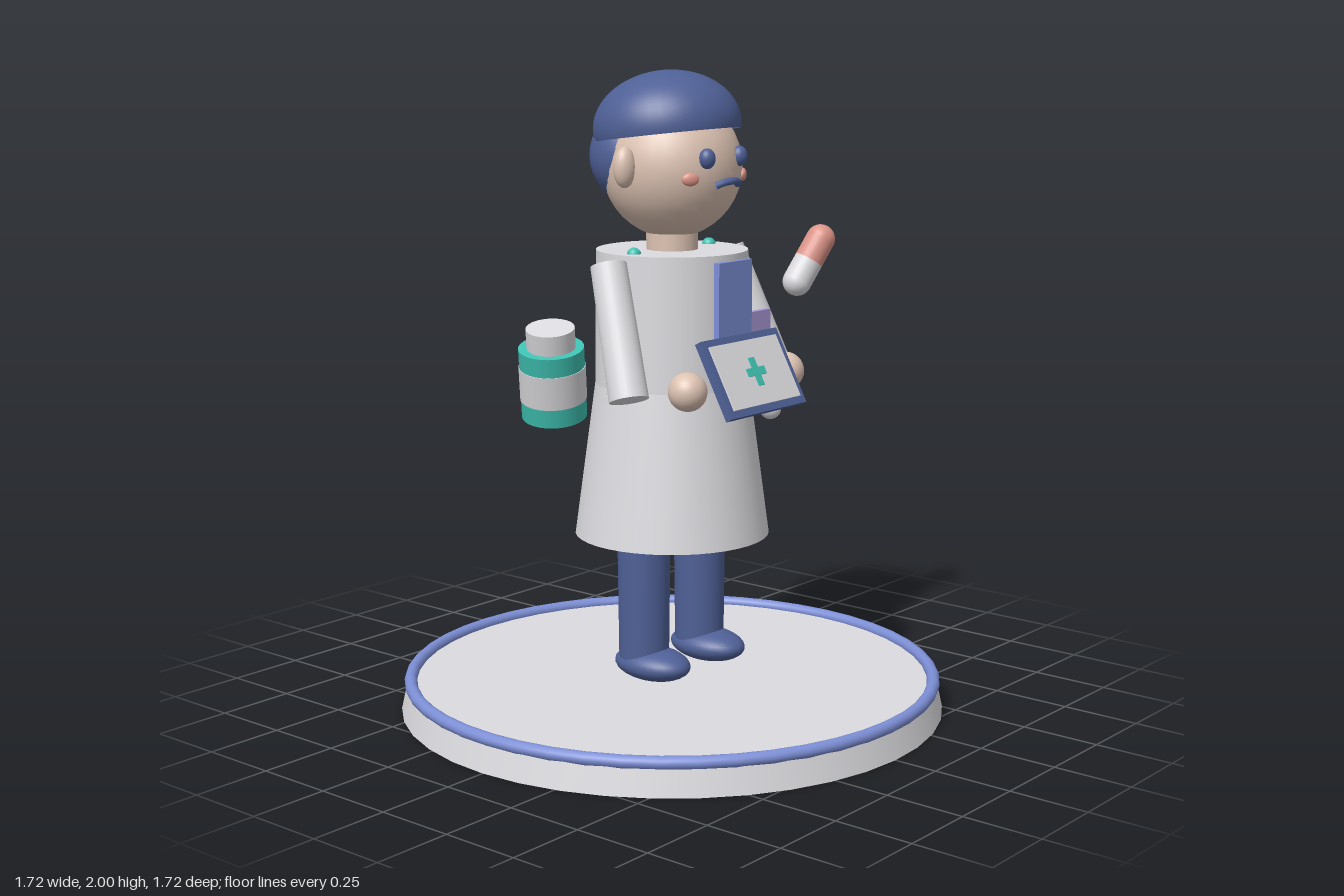
import * as THREE from 'three';

const mat = (name, color, side = THREE.FrontSide) => {
  const m = new THREE.MeshStandardMaterial({ color, side });
  m.name = name;
  return m;
};

export function createModel() {
  const white = mat('white', 0xdcdce0);
  const navy = mat('navy', 0x4f6096, THREE.DoubleSide);
  const blue = mat('blue', 0x7d8fd6);
  const skin = mat('skin', 0xdcc2b2);
  const pink = mat('pink', 0xdc9488);
  const purple = mat('purple', 0xac9cda);
  const teal = mat('teal', 0x3fc1b2);

  const model = new THREE.Group();
  model.name = 'pharmacist';

  const add = (name, geo, material, pos = [0, 0, 0], parent = model) => {
    const mesh = new THREE.Mesh(geo, material);
    mesh.name = name;
    mesh.position.set(...pos);
    parent.add(mesh);
    return mesh;
  };
  const ball = (name, radii, material, pos, parent) => {
    const mesh = add(name, new THREE.SphereGeometry(1, 32, 20), material, pos, parent);
    mesh.scale.set(...radii);
    return mesh;
  };
  const tube = (name, rTop, rBottom, y0, y1, material, x = 0, parent = model) =>
    add(name, new THREE.CylinderGeometry(rTop, rBottom, y1 - y0, 40), material, [x, (y0 + y1) / 2, 0], parent);
  // Group centred between two points with its y axis running from a to b
  const along = (name, a, b) => {
    const g = new THREE.Group();
    const from = new THREE.Vector3(...a), to = new THREE.Vector3(...b);
    g.name = name;
    g.position.copy(from).add(to).multiplyScalar(0.5);
    g.userData.length = from.distanceTo(to);
    g.quaternion.setFromUnitVectors(new THREE.Vector3(0, 1, 0), to.sub(from).normalize());
    model.add(g);
    return g;
  };

  // Round stand with a coloured rim
  tube('stand', 0.84, 0.86, 0, 0.09, white);
  add('standRim', new THREE.TorusGeometry(0.83, 0.02, 12, 48).rotateX(Math.PI / 2), blue, [0, 0.095, 0]);

  // Coat
  tube('coatSkirt', 0.24, 0.305, 0.56, 1.04, white);
  tube('coatBody', 0.235, 0.24, 1.04, 1.455, white);
  add('shirtPanel', new THREE.BoxGeometry(0.16, 0.33, 0.02), blue, [0, 1.27, 0.24]);
  add('pocket', new THREE.BoxGeometry(0.13, 0.13, 0.02), purple, [0.117, 1.205, 0.234]);

  // Paired limbs, ears and face details
  for (const s of [1, -1]) {
    const side = s > 0 ? 'left' : 'right';
    tube(side + 'Leg', 0.083, 0.078, 0.15, 0.6, navy, s * 0.137);
    ball(side + 'Shoe', [0.09, 0.052, 0.135], navy, [s * 0.137, 0.166, 0.035]);
    const arm = along(side + 'Sleeve', [s * 0.285, 1.43, -0.01], [s * 0.355, 1.045, 0.13]);
    add(side + 'SleeveTube', new THREE.CylinderGeometry(0.06, 0.055, arm.userData.length, 28), white, [0, 0, 0], arm);
    ball(side + 'Hand', [0.059, 0.059, 0.059], skin, [s * 0.24, 1.07, 0.26]);
    ball(side + 'CollarTip', [0.022, 0.022, 0.022], teal, [s * 0.18, 1.452, 0]);
    ball(side + 'Ear', [0.037, 0.062, 0.033], skin, [s * 0.222, 1.718, 0]);
    ball(side + 'Eye', [0.026, 0.031, 0.025], navy, [s * 0.077, 1.745, 0.2]);
    const cheek = ball(side + 'Cheek', [0.027, 0.02, 0.012], pink, [s * 0.126, 1.685, 0.176]);
    cheek.rotation.y = s * 0.6;
  }

  // Head
  tube('neck', 0.08, 0.08, 1.43, 1.54, skin);
  ball('head', [0.215, 0.22, 0.217], skin, [0, 1.71, 0]);
  const mouthPath = new THREE.CatmullRomCurve3([
    [-0.053, 1.663, 0.213], [-0.03, 1.673, 0.23], [0, 1.677, 0.24], [0.03, 1.673, 0.23], [0.053, 1.663, 0.213],
  ].map((p) => new THREE.Vector3(...p)));
  add('moustache', new THREE.TubeGeometry(mouthPath, 20, 0.011, 10), navy);

  // Hair: a tilted cap and a rounded back
  const cap = add('hairCap', new THREE.SphereGeometry(0.228, 40, 20, 0, Math.PI * 2, 0, Math.PI * 0.55), navy, [0, 1.83, -0.02]);
  cap.scale.y = 0.745;
  cap.rotation.x = -0.13;
  ball('hairBack', [0.205, 0.17, 0.17], navy, [0, 1.74, -0.09]);

  // Clipboard with paper and cross
  const board = new THREE.Group();
  board.name = 'clipboard';
  board.position.set(0, 1.098, 0.313);
  board.rotation.x = -0.5;
  model.add(board);
  add('board', new THREE.BoxGeometry(0.37, 0.25, 0.024), navy, [0, 0, 0], board);
  add('paper', new THREE.BoxGeometry(0.325, 0.205, 0.006), white, [0, 0, 0.015], board);
  add('crossBar', new THREE.BoxGeometry(0.084, 0.025, 0.006), teal, [0, 0, 0.02], board);
  add('crossPost', new THREE.BoxGeometry(0.025, 0.09, 0.0055), teal, [0, 0, 0.02], board);

  // Floating medicine bottle
  const bottle = along('bottle', [-0.615, 1.035, 0.072], [-0.657, 1.24, 0.1]);
  tube('bottleBase', 0.094, 0.094, -0.106, -0.05, teal, 0, bottle);
  tube('bottleLabel', 0.096, 0.096, -0.05, 0.05, white, 0, bottle);
  tube('bottleShoulder', 0.094, 0.094, 0.05, 0.106, teal, 0, bottle);
  tube('bottleCap', 0.07, 0.07, 0.106, 0.165, white, 0, bottle);

  // Floating two-tone capsules
  const pill = (name, bottom, top, r, material) => {
    const g = along(name, bottom, top);
    const h = g.userData.length / 2;
    const half = () => new THREE.LatheGeometry([
      new THREE.Vector2(r, 0),
      ...Array.from({ length: 9 }, (_, i) => {
        const t = (i / 8) * Math.PI / 2;
        return new THREE.Vector2(r * Math.cos(t), h + r * Math.sin(t));
      }),
    ], 28);
    add(name + 'Top', half(), material, [0, 0, 0], g);
    add(name + 'Bottom', half().rotateX(Math.PI), white, [0, 0, 0], g);
  };
  pill('largeCapsule', [0.597, 1.295, 0.038], [0.673, 1.432, 0.076], 0.048, pink);
  pill('smallCapsule', [0.583, 0.86, -0.058], [0.507, 0.968, -0.085], 0.037, purple);

  return model;
}
